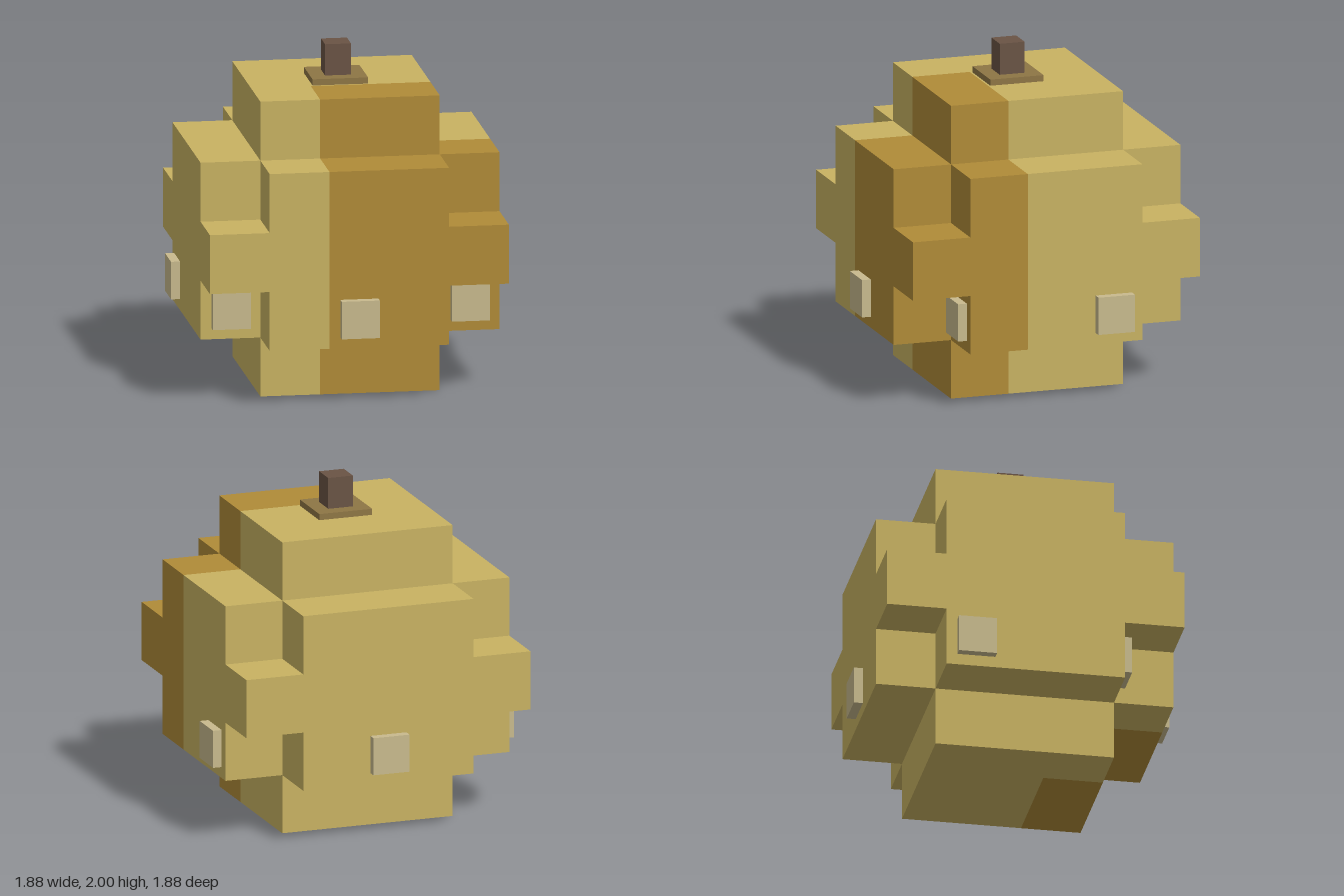
import * as THREE from 'three';
import { mergeGeometries } from 'three/addons/utils/BufferGeometryUtils.js';

const S = 0.355; // block size; the body is a 5 x 5 x 5 block ball

const material = (name, color) => {
  const m = new THREE.MeshStandardMaterial({ color });
  m.name = name;
  return m;
};

// Blocks are indexed -2..2 on each axis; edges are stepped off, the middle layer is full
const filled = (i, j, k) => {
  const a = Math.abs(i), b = Math.abs(j), c = Math.abs(k);
  if (Math.max(a, b, c) > 2) return false;
  return j === 0 || [a, b, c].filter((v) => v === 2).length < 2;
};
const isPatch = (i, k) => i >= 0 && k >= 1;

// Outer faces of every block that belongs to the chosen colour area
function shell(patch) {
  const faces = [];
  const dirs = [[1, 0, 0], [-1, 0, 0], [0, 1, 0], [0, -1, 0], [0, 0, 1], [0, 0, -1]];
  const forward = new THREE.Vector3(0, 0, 1);
  for (let i = -2; i <= 2; i++) for (let j = -2; j <= 2; j++) for (let k = -2; k <= 2; k++) {
    if (!filled(i, j, k) || isPatch(i, k) !== patch) continue;
    for (const [x, y, z] of dirs) {
      if (filled(i + x, j + y, k + z)) continue;
      const q = new THREE.Quaternion();
      if (z === -1) q.setFromAxisAngle(new THREE.Vector3(0, 1, 0), Math.PI);
      else q.setFromUnitVectors(forward, new THREE.Vector3(x, y, z));
      faces.push(new THREE.PlaneGeometry(S, S).applyQuaternion(q)
        .translate((i + x / 2) * S, (j + 2.5 + y / 2) * S, (k + z / 2) * S));
    }
  }
  return mergeGeometries(faces);
}

export function createModel() {
  const model = new THREE.Group();
  model.name = 'blockFruit';
  const skin = material('paleSkin', 0xc8b262);
  const ripe = material('ripePatch', 0xb08b38);
  const spot = material('paleSpot', 0xc8ba8d);
  const base = material('stemBase', 0x8e7645);
  const wood = material('stemWood', 0x6a5445);

  const add = (name, geometry, mat) => {
    const mesh = new THREE.Mesh(geometry, mat);
    mesh.name = name;
    model.add(mesh);
  };
  const box = (name, mat, w, h, d, x, y, z) =>
    add(name, new THREE.BoxGeometry(w, h, d).translate(x, y, z), mat);

  // Body in two colours
  add('bodySkin', shell(false), skin);
  add('bodyRipePatch', shell(true), ripe);

  // Stem on its square base
  box('stemBase', base, 0.33, 0.04, 0.33, 0, 1.792, 0);
  box('stem', wood, 0.154, 0.19, 0.154, 0, 1.905, 0);

  // Raised spots low on the sides
  const W = 0.226, T = 0.055, Y = 0.535;
  const out = 2.5 * S + T / 2 - 0.001, inner = 1.5 * S + T / 2 - 0.001;
  box('frontSpot', spot, W, W, T, 0, Y, out);
  box('backSpot', spot, W, W, T, 0, Y, -out);
  for (const s of [-1, 1]) {
    const side = s > 0 ? 'left' : 'right';
    box(side + 'Spot', spot, T, W, W, s * out, Y, -0.355);
    box(side + 'FrontSpot', spot, W, W, T, s * 0.71, Y, inner);
  }
  return model;
}
